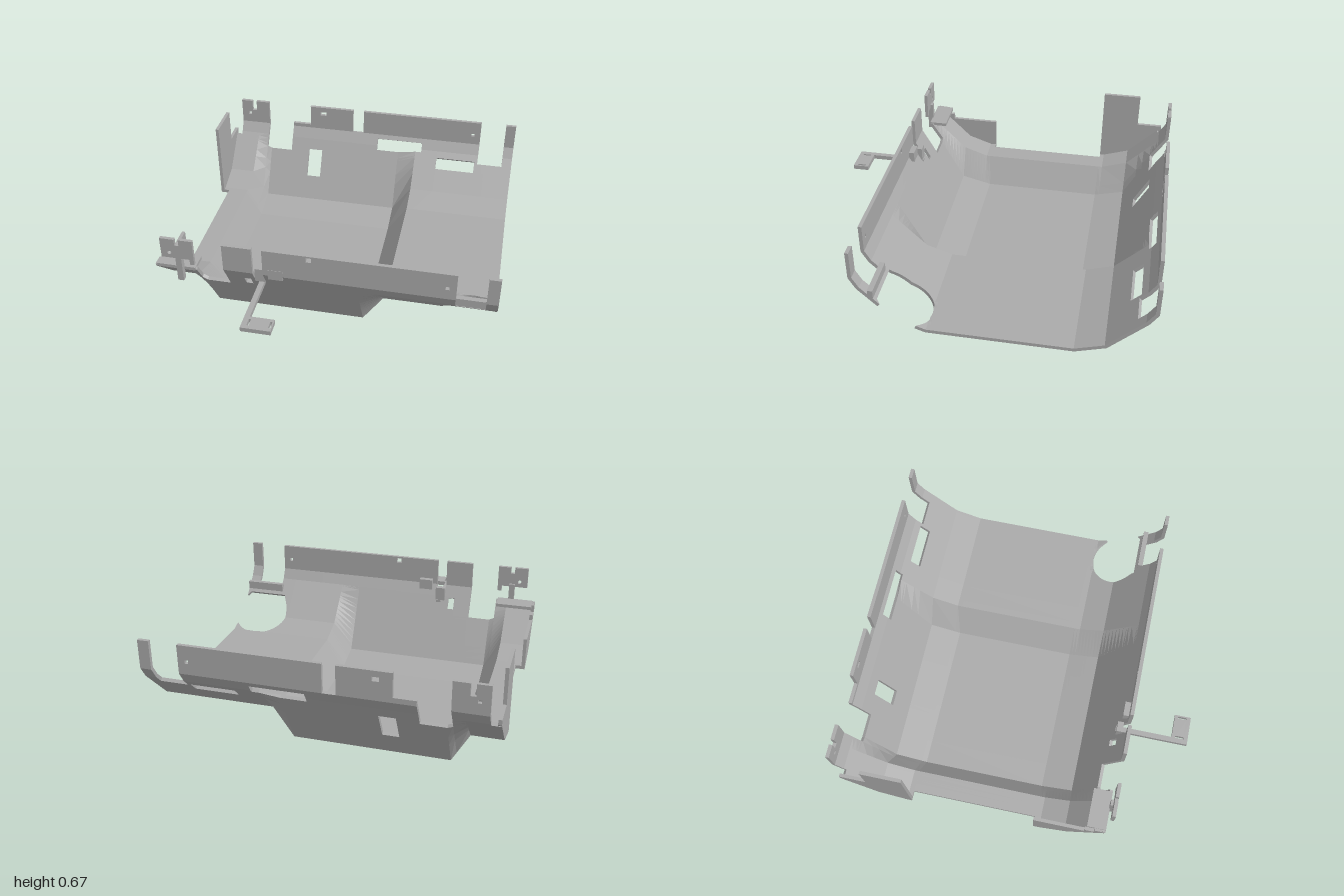
import * as THREE from 'three';

const T = 0.021; // sheet thickness
const X0 = -0.98, X1 = 0.98, V0 = -1.17, V1 = 0.82; // v follows z, then climbs the two upright walls
const lerp = THREE.MathUtils.lerp;

// Piecewise-linear lookup
function sample(knots, u) {
  for (let i = 1; i < knots.length; i++) {
    const [a, ya] = knots[i - 1], [b, yb] = knots[i];
    if (u <= b || i === knots.length - 1) return lerp(ya, yb, (u - a) / (b - a));
  }
}
const shallow = [[-1.17, 0.67], [-1, 0.5], [-0.955, 0.43], [-0.75, 0.225], [-0.58, 0.17], [0.24, 0.17], [0.4, 0.225], [0.61, 0.43], [0.65, 0.5], [0.82, 0.67]];
const deep = [[-1.17, 0.67], [-1, 0.5], [-0.955, 0.43], [-0.75, 0.05], [-0.55, 0], [0.2, 0], [0.4, 0.05], [0.61, 0.43], [0.65, 0.5], [0.82, 0.67]];
const depth = [[-0.98, 0], [-0.8, 0], [-0.7, 1], [0.2, 1], [0.32, 0], [0.98, 0]];

function outer(x, v) {
  return new THREE.Vector2(THREE.MathUtils.clamp(v, -1, 0.65),
    lerp(sample(shallow, v), sample(deep, v), sample(depth, x)));
}
// Mitred offset towards the inside of the tray
function inner(x, v) {
  const e = 1e-4, p = outer(x, v), a = outer(x, v - e), b = outer(x, v + e);
  const n = (s, t) => new THREE.Vector2(s.y - t.y, t.x - s.x).normalize();
  const n1 = n(a, p), n2 = n(p, b);
  return p.add(n1.clone().add(n2).multiplyScalar(T / (1 + n1.dot(n2))));
}

// Cut-outs as [x0, x1, v0, v1]
const cuts = [
  [X0, -0.925, -0.55, 0.2],          // open left end
  [X0, -0.73, 0.62, V1],             // lowered front left corner
  [-0.73, -0.56, 0.55, V1],          // front gaps
  [-0.39, -0.33, 0.6, V1],
  [0.75, 0.915, 0.55, V1],
  [X0, -0.925, V0, -0.94],           // back gaps
  [-0.73, -0.555, V0, -0.91],
  [-0.555, -0.43, V0, -1.03],
  [-0.13, -0.055, V0, -1.0],
  [0.75, 0.915, V0, -0.91],
  [-0.85, -0.82, V0, -1.1],          // slot in the back left post
  [0.47, 0.73, -0.92, -0.865],       // windows
  [-0.43, -0.335, -0.92, -0.83],
  [0.05, 0.36, -0.98, -0.94],
  [-0.455, -0.415, 0.57, 0.605],     // small holes
  [0.69, 0.71, 0.715, 0.735],
  [-0.08, -0.05, 0.78, 0.81],
  [0.69, 0.71, -1.085, -1.065],
  [-0.88, -0.86, -1.085, -1.065],
  [-0.36, -0.32, -1.135, -1.11],
];
const hole = { x: 0.84, v: 0.4, r: 0.17, end: 0.52 }; // round opening

function lines(list) {
  return list.sort((a, b) => a - b).filter((n, i, l) => i === 0 || n - l[i - 1] > 1e-4);
}

function shellGeometry() {
  const xs = depth.map(k => k[0]), vs = [...shallow, ...deep].map(k => k[0]);
  for (const [a, b, c, d] of cuts) { xs.push(a, b); vs.push(c, d); }
  for (let k = 0; k < 17; k++) { xs.push(0.66 + k * 0.02); vs.push(0.22 + k * 0.02); }
  const X = lines(xs), V = lines(vs), nx = X.length - 1, nv = V.length - 1;

  const kept = (i, j) => {
    if (i < 0 || j < 0 || i >= nx || j >= nv) return false;
    const x = (X[i] + X[i + 1]) / 2, v = (V[j] + V[j + 1]) / 2;
    if (v < hole.end && Math.hypot(x - hole.x, v - hole.v) < hole.r) return false;
    return !cuts.some(c => x > c[0] && x < c[1] && v > c[2] && v < c[3]);
  };
  // Grid corners, pulled onto the round opening where they lie beside it
  const grid = X.map(gx => V.map(gv => {
    let x = gx, v = gv;
    const d = Math.hypot(x - hole.x, v - hole.v);
    if (Math.abs(d - hole.r) < 0.014 && x < X1 - 0.001 && v < hole.end - 0.001) {
      x = Math.min(X1, hole.x + (x - hole.x) * hole.r / d);
      v = hole.v + (v - hole.v) * hole.r / d;
    }
    const o = outer(x, v), n = inner(x, v);
    return { o: [x, o.y, o.x], n: [x, n.y, n.x] };
  }));

  const pos = [];
  const quad = (a, b, c, d) => pos.push(...a, ...b, ...c, ...a, ...c, ...d);
  for (let i = 0; i < nx; i++) for (let j = 0; j < nv; j++) {
    if (!kept(i, j)) continue;
    const q = [grid[i][j], grid[i + 1][j], grid[i + 1][j + 1], grid[i][j + 1]];
    quad(...q.map(p => p.o));
    quad(q[3].n, q[2].n, q[1].n, q[0].n);
    [[0, -1], [1, 0], [0, 1], [-1, 0]].forEach(([di, dj], k) => {
      const a = q[k], b = q[(k + 1) % 4];
      if (!kept(i + di, j + dj)) quad(b.o, a.o, a.n, b.n);
    });
  }
  const g = new THREE.BufferGeometry();
  g.setAttribute('position', new THREE.Float32BufferAttribute(pos, 3));
  g.computeVertexNormals();
  return g;
}

export function createModel() {
  const root = new THREE.Group();
  root.name = 'trayHousing';
  const grey = new THREE.MeshStandardMaterial({ color: 0xaaaaaa });
  grey.name = 'plain grey';

  const add = (name, geo) => {
    const m = new THREE.Mesh(geo, grey);
    m.name = name;
    root.add(m);
    return m;
  };
  const box = (name, x0, x1, y0, y1, z0, z1) =>
    add(name, new THREE.BoxGeometry(x1 - x0, y1 - y0, z1 - z0))
      .position.set((x0 + x1) / 2, (y0 + y1) / 2, (z0 + z1) / 2);
  const path = (pts, C = THREE.Shape) => new C(pts.map(p => new THREE.Vector2(...p)));
  const slab = (shape, depth) => new THREE.ExtrudeGeometry(shape, { depth, bevelEnabled: false });

  add('shell', shellGeometry());

  // Upright end plates, drawn as (-z, y) and turned to face sideways
  const endPlate = (name, pts) => {
    const m = add(name, slab(path(pts.map(([z, y]) => [-z, y])), 0.02));
    m.rotation.y = Math.PI / 2;
    m.position.x = X0;
  };
  endPlate('frontEndPlate', [[0.62, 0.455], [0.555, 0.455], [0.555, 0.41], [0.5, 0.41], [0.5, 0.375], [0.2, 0.375], [0.2, 0.172], [0.24, 0.172], [0.4, 0.227], [0.6, 0.425]]);
  endPlate('backEndPlate', [[-0.55, 0.172], [-0.55, 0.67], [-0.79, 0.67], [-0.79, 0.46], [-0.95, 0.46], [-0.95, 0.43], [-0.75, 0.227], [-0.58, 0.172]]);

  // Front left corner: ledge and the raised plate on its stem
  box('cornerLedge', -0.965, -0.74, 0.44, 0.46, 0.51, 0.62);
  box('cornerStem', -0.84, -0.805, 0.38, 0.56, 0.615, 0.649);
  const plate = path([[-0.92, 0.54], [-0.755, 0.54], [-0.755, 0.505], [-0.73, 0.505], [-0.73, 0.67], [-0.81, 0.67], [-0.81, 0.63], [-0.835, 0.63], [-0.835, 0.67], [-0.92, 0.67]]);
  const screw = new THREE.Path();
  screw.absarc(-0.87, 0.575, 0.012, 0, Math.PI * 2, true);
  plate.holes.push(screw);
  add('cornerPlate', slab(plate, 0.02)).position.z = 0.63;

  // Arm reaching forward, with a slotted tab at its end, drawn as (x, z)
  const arm = path([[-0.365, 0.57], [-0.335, 0.57], [-0.335, 0.905], [-0.195, 0.905], [-0.195, 1], [-0.365, 1]]);
  for (const x of [-0.335, -0.215])
    arm.holes.push(path([[x, 0.925], [x, 0.975], [x + 0.012, 0.975], [x + 0.012, 0.925]], THREE.Path));
  const armMesh = add('frontArm', slab(arm, 0.027));
  armMesh.rotation.x = Math.PI / 2;
  armMesh.position.y = 0.415;

  // Small fittings on the front wall
  box('frontBlock', -0.3, -0.215, 0.475, 0.54, 0.595, 0.652);
  box('armBracket', -0.39, -0.33, 0.415, 0.5, 0.575, 0.61);
  box('openingBar', 0.735, 0.98, 0.375, 0.425, 0.52, 0.55);

  return root;
}
